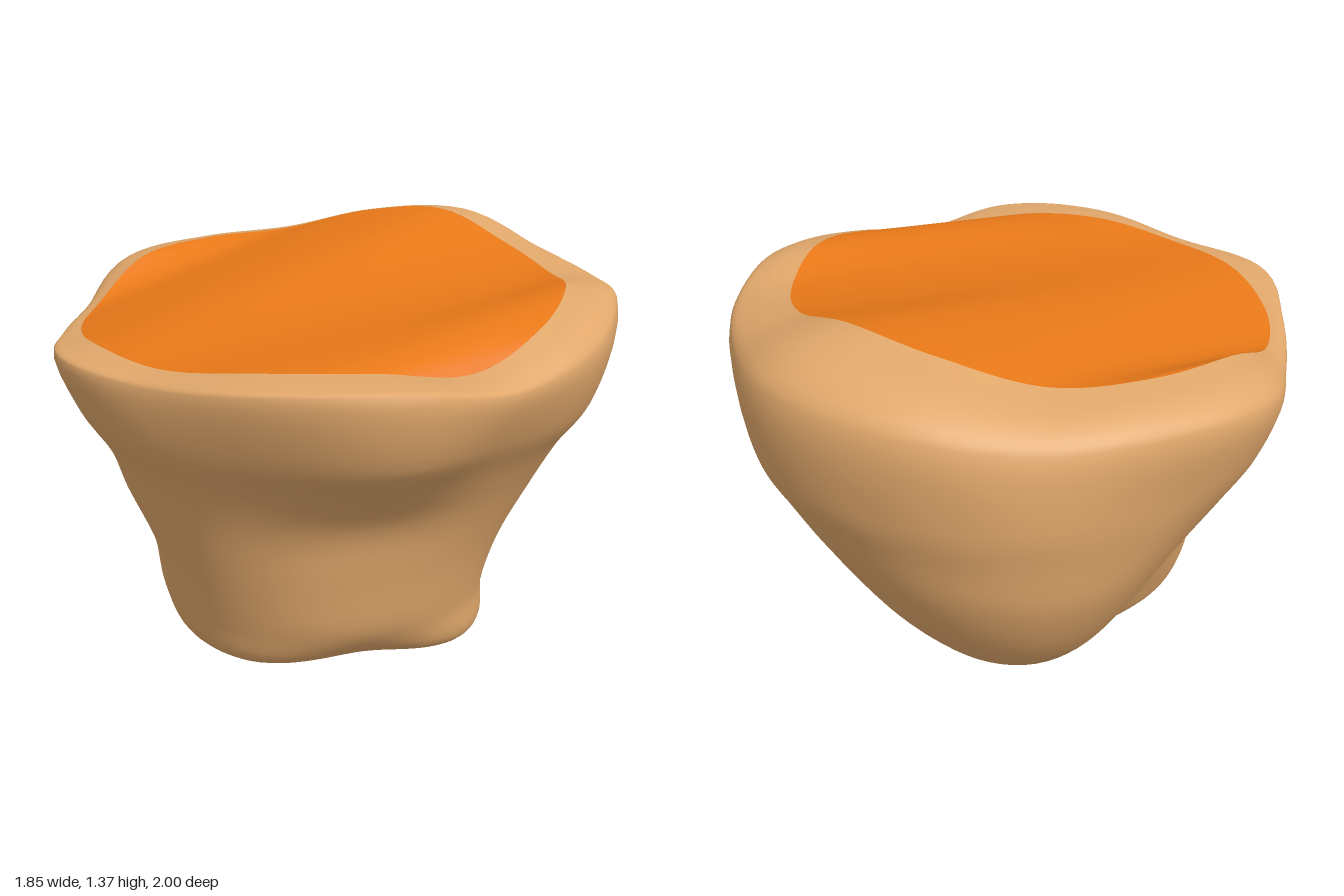
import * as THREE from 'three';

// Smooth periodic lookup into a list of values spread evenly around the circle
function around(list, angle) {
  const n = list.length;
  const t = (((angle / (2 * Math.PI)) * n) % n + n) % n;
  const i = Math.floor(t), f = t - i;
  const [a, b, c, d] = [-1, 0, 1, 2].map((k) => list[(i + k + n) % n]);
  return b + 0.5 * f * (c - a + f * (2 * a - 5 * b + 4 * c - d + f * (3 * (b - c) + d - a)));
}

// Angles run from +x towards +z. Each level: height, radii evenly spread round the circle
const LEVELS = [
  [0.22, [0.50, 0.55, 0.56, 0.64, 0.63, 0.52, 0.68, 0.55]],
  [0.42, [0.58, 0.60, 0.60, 0.70, 0.66, 0.63, 0.85, 0.71]],
  [0.63, [0.70, 0.69, 0.65, 0.77, 0.75, 0.76, 0.95, 0.84]],
  [0.80, [0.79, 0.78, 0.78, 0.76, 0.79, 0.81, 0.84, 0.83, 0.79, 0.81, 0.86, 0.92, 0.98, 0.97, 0.93, 0.86]],
  [0.95, [0.87, 0.87, 0.88, 0.86, 0.94, 0.92, 0.92, 0.92, 0.87, 0.87, 0.94, 0.95, 1.00, 1.01, 1.00, 0.92]],
];
const FOOT = [0.48, 0.54, 0.49, 0.60, 0.58, 0.44, 0.49, 0.43];
const FOOT_Y = [0.03, 0.03, 0.07, 0.05, 0.05, 0.04, 0.03, 0.0];
// Outer lip radius, crest height and the drop from crest to lip
const LIP = [0.92, 0.92, 0.93, 0.92, 0.99, 0.99, 0.95, 0.99, 0.91, 0.91, 0.99, 0.97, 0.98, 1.02, 1.02, 0.94];
const CREST = [1.25, 1.28, 1.23, 1.16, 1.20, 1.20, 1.17, 1.17, 1.14, 1.14, 1.24, 1.26, 1.27, 1.34, 1.37, 1.29];
const DROP = [0.04, 0.07, 0.02, 0.03, 0.02, 0.08, 0.09, 0.12];
const CENTRE = { x: -0.06, z: 0.04, r: 0.79 };

const polar = (r, y, a) => new THREE.Vector3(r * Math.cos(a), y, r * Math.sin(a));

// Edge of the round opening
function openingPoint(a) {
  return polar(CENTRE.r, around(CREST, a), a).add(new THREE.Vector3(CENTRE.x, 0, CENTRE.z));
}

// Vertical profile of the wall in one direction, from under the foot to the opening
function wallProfile(a) {
  const foot = around(FOOT, a), footY = around(FOOT_Y, a);
  const lip = around(LIP, a), crest = around(CREST, a), drop = around(DROP, a);
  const edge = openingPoint(a);
  const outer = polar(lip * 0.995, crest - drop, a);
  const points = [
    polar(0, 0.05, a),
    polar(foot * 0.5, footY * 0.6 + 0.02, a),
    polar(foot * 0.86, footY, a),
    polar(foot, footY + 0.05, a),
    ...LEVELS.map(([y, radii]) => polar(around(radii, a), y, a)),
    outer,
    outer.clone().lerp(edge, 0.35).setY(crest - drop * 0.3),
    edge,
  ];
  return new THREE.CatmullRomCurve3(points).getPoints((points.length - 1) * 5);
}

function geometryFrom(points, index) {
  const geometry = new THREE.BufferGeometry().setFromPoints(points);
  geometry.setIndex(index);
  geometry.computeVertexNormals();
  return geometry;
}

// Uneven hand-formed wall, swept round the circle
function bowlGeometry(columns = 112) {
  const points = [], index = [];
  let rows = 0;
  for (let c = 0; c < columns; c++) {
    const profile = wallProfile((c / columns) * 2 * Math.PI);
    rows = profile.length;
    points.push(...profile);
  }
  for (let c = 0; c < columns; c++) {
    for (let r = 0; r < rows - 1; r++) {
      const a = c * rows + r, b = ((c + 1) % columns) * rows + r;
      if (r > 0) index.push(a, a + 1, b);
      index.push(b, a + 1, b + 1);
    }
  }
  return geometryFrom(points, index);
}

// Gently warped fill, made of straight chords across the opening
function fillGeometry(rows = 48, steps = 12) {
  const points = [], index = [];
  const tilt = -0.5;
  for (let r = 0; r <= rows; r++) {
    const a = -Math.PI / 2 + (r / rows) * Math.PI;
    const right = openingPoint(tilt + a), left = openingPoint(tilt + Math.PI - a);
    for (let s = 0; s <= steps; s++) points.push(left.clone().lerp(right, s / steps));
  }
  for (let r = 0; r < rows; r++) {
    for (let s = 0; s < steps; s++) {
      const a = r * (steps + 1) + s, b = a + steps + 1;
      index.push(a, b, a + 1, a + 1, b, b + 1);
    }
  }
  return geometryFrom(points, index);
}

export function createModel() {
  const model = new THREE.Group();
  const addPart = (name, geometry, color) => {
    const material = new THREE.MeshStandardMaterial({ color, side: THREE.DoubleSide });
    const mesh = new THREE.Mesh(geometry, material);
    mesh.name = name;
    model.add(mesh);
  };
  addPart('bowl', bowlGeometry(), 0xe0a76b);
  addPart('fill', fillGeometry(), 0xe87818);
  return model;
}
